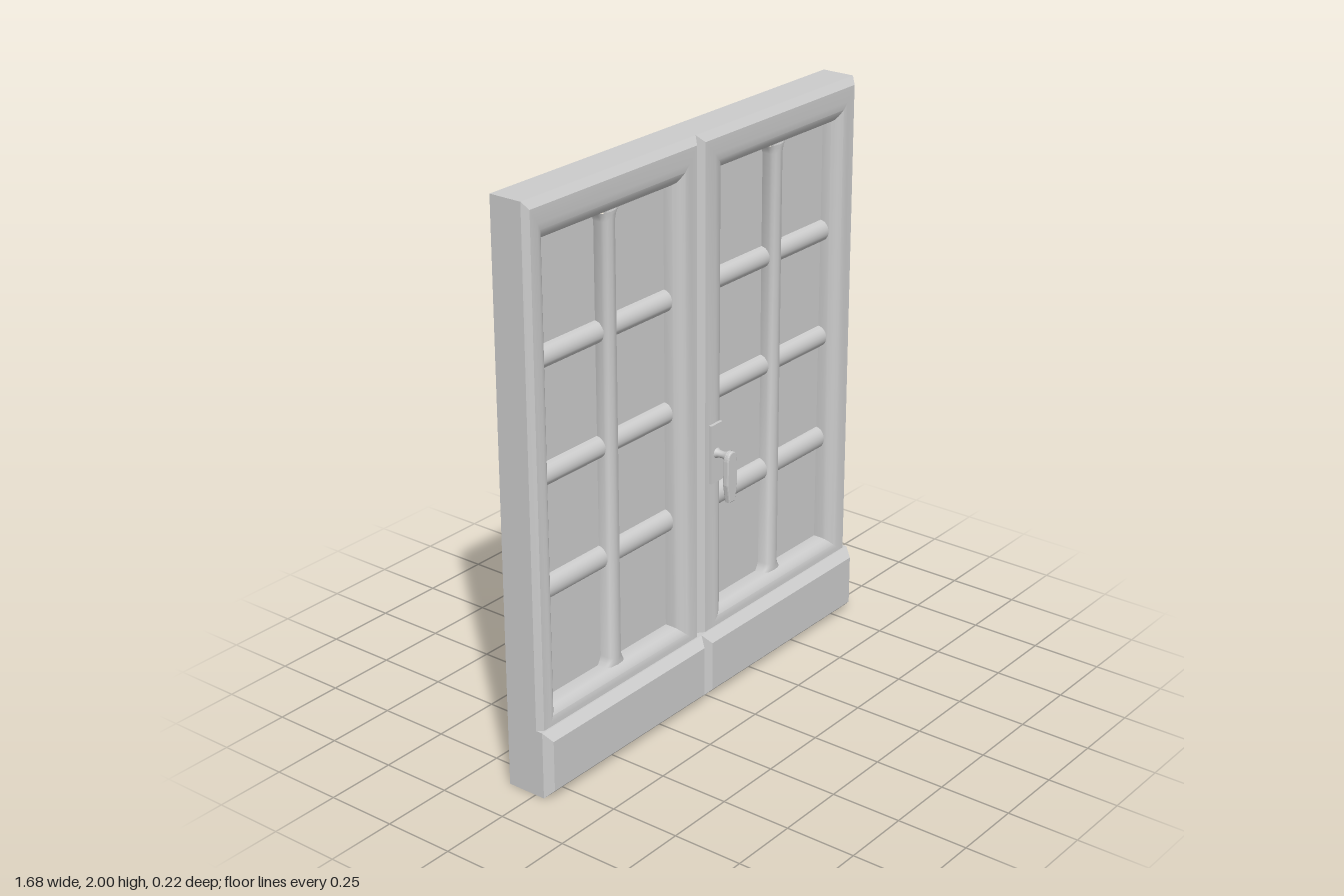
import * as THREE from 'three';
import { toCreasedNormals } from 'three/addons/utils/BufferGeometryUtils.js';

const material = new THREE.MeshStandardMaterial({ color: 0xcccccc, side: THREE.DoubleSide });
const GLASS_Z = -0.04;
const GAPS = [[0.65, 0.73], [1.04, 1.115], [1.43, 1.505]]; // glazing bar heights
const Y0 = 0.3, Y1 = 1.86;

// Skin a grid of [x, y, z] rows
function skin(rows, closed, crease = 0.5) {
  const n = rows[0].length, index = [];
  for (let i = 0; i < rows.length - 1; i++) {
    for (let j = 0; j < (closed ? n : n - 1); j++) {
      const k = (j + 1) % n;
      const a = i * n + j, b = i * n + k, c = (i + 1) * n + k, d = (i + 1) * n + j;
      index.push(a, b, c, a, c, d);
    }
  }
  const g = new THREE.BufferGeometry();
  g.setAttribute('position', new THREE.Float32BufferAttribute(rows.flat(2), 3));
  g.setIndex(index);
  return toCreasedNormals(g, crease);
}

// Rectangle corners at depth z, pulled in by [left, right, bottom, top] * f
const rect = ([x0, x1, y0, y1], [l, r, b, t], f, z) => [
  [x0 + l * f, y0 + b * f, z], [x1 - r * f, y0 + b * f, z],
  [x1 - r * f, y1 - t * f, z], [x0 + l * f, y1 - t * f, z]];

function roundedRect(path, x0, x1, y0, y1, r) {
  path.moveTo(x0 + r, y0);
  path.lineTo(x1 - r, y0); path.quadraticCurveTo(x1, y0, x1, y0 + r);
  path.lineTo(x1, y1 - r); path.quadraticCurveTo(x1, y1, x1 - r, y1);
  path.lineTo(x0 + r, y1); path.quadraticCurveTo(x0, y1, x0, y1 - r);
  path.lineTo(x0, y0 + r); path.quadraticCurveTo(x0, y0, x0 + r, y0);
  return path;
}

export function createModel() {
  const model = new THREE.Group();
  const add = (name, geometry, parent = model) => {
    const m = new THREE.Mesh(geometry, material);
    m.name = name;
    parent.add(m);
    return m;
  };

  // Thin outer casing, open at the back
  const none = [0, 0, 0, 0], whole = [-0.84, 0.84, 0, 2];
  add('outerCasing', skin([rect(whole, none, 0, -0.11), rect(whole, none, 0, 0.01)], true));

  // Rounded, mitred frame profile: [share of width, depth]
  const profile = [[0, 0.01], [0.18, 0.03], [0.55, 0.03], [0.72, 0.026],
    [0.86, 0.016], [0.95, 0.006], [1, -0.005], [1, GLASS_Z]];

  const leaves = [
    { name: 'rightLeaf', x: [-0.84, -0.02], w: [0.09, 0.1, 0.1, 0.14], p: [0.02, 0.022, 0.03, 0.03], bar: -0.43 },
    { name: 'leftLeaf', x: [-0.02, 0.84], w: [0.14, 0.1, 0.1, 0.14], p: [0.022, 0.02, 0.03, 0.03], bar: 0.43 },
  ];
  const levels = [Y0, ...GAPS.flat(), Y1];

  for (const { name, x, w, p, bar } of leaves) {
    const leaf = new THREE.Group();
    leaf.name = name;
    model.add(leaf);
    add('leafFrame', skin(profile.map(([f, z]) => rect([...x, 0.2, 2], w, f, z)), true), leaf);

    // Raised bottom panel with chamfered edges
    const box = [...x, 0, 0.24];
    add('bottomPanel', skin([rect(box, p, 0, 0.01), rect(box, p, 0, 0.035), rect(box, p, 1, 0.065)], true, 0.3), leaf);
    const face = rect(box, p, 1, 0.065);
    add('bottomPanelFace', skin([[face[0], face[1]], [face[3], face[2]]], false), leaf);

    // Upright glazing bar, flared where it meets the rails
    const section = [[-1, GLASS_Z], [-1, -0.012], [-0.9, -0.002], [-0.6, 0.006],
      [0, 0.009], [0.6, 0.006], [0.9, -0.002], [1, -0.012], [1, GLASS_Z]];
    const run = [[Y0, 0.046], [Y0 + 0.012, 0.038], [Y0 + 0.03, 0.03],
      [Y1 - 0.03, 0.03], [Y1 - 0.012, 0.038], [Y1, 0.046]];
    add('uprightBar', skin(run.map(([y, h]) => section.map(([u, z]) => [bar + u * h, y, z])), false, 0.8), leaf);

    // Panes, each with a thin bead on the back
    const inner = [x[0] + w[0], x[1] - w[1]];
    for (const [a, b] of [[inner[0], bar - 0.03], [bar + 0.03, inner[1]]]) {
      for (let i = 0; i < levels.length; i += 2) {
        const lo = levels[i], hi = levels[i + 1];
        add('pane', new THREE.PlaneGeometry(b - a, hi - lo), leaf)
          .position.set((a + b) / 2, (lo + hi) / 2, GLASS_Z);
        const bead = roundedRect(new THREE.Shape(), a, b, lo, hi, 0.02);
        bead.holes.push(roundedRect(new THREE.Path(), a + 0.009, b - 0.009, lo + 0.009, hi - 0.009, 0.014));
        add('paneBead', new THREE.ExtrudeGeometry(bead, { depth: 0.008, bevelEnabled: false, curveSegments: 4 }), leaf)
          .position.z = GLASS_Z - 0.009;
      }
    }
  }

  // Half-round cross bars running the full width
  for (const [lo, hi] of GAPS) {
    const rows = [];
    for (let i = 0; i <= 12; i++) {
      const a = Math.PI * i / 12;
      const y = (lo + hi) / 2 - Math.cos(a) * (hi - lo) / 2, z = GLASS_Z + 0.034 * Math.sin(a);
      rows.push([[-0.75, y, z], [0.74, y, z]]);
    }
    add('crossBar', skin(rows, false, 0.8));
  }

  // Backing behind the meeting stiles, with narrow slots at the cross bars
  for (let i = 0; i < levels.length; i += 2) {
    const lo = levels[i] - (i > 0 ? 0.025 : 0);
    const hi = levels[i + 1] + (i < levels.length - 2 ? 0.025 : 0);
    add('centreBacking', new THREE.PlaneGeometry(0.24, hi - lo)).position.set(0, (lo + hi) / 2, GLASS_Z - 0.002);
  }

  // Handle: plate, flared stem and tapered lever
  const handle = new THREE.Group();
  handle.name = 'handle';
  handle.position.x = 0.055;
  model.add(handle);
  add('handlePlate', new THREE.BoxGeometry(0.06, 0.21, 0.012), handle).position.set(0, 0.895, 0.035);
  const stem = new THREE.LatheGeometry([[0.02, 0.038], [0.013, 0.05], [0.012, 0.07], [0.018, 0.088], [0.022, 0.095]]
    .map(([r, y]) => new THREE.Vector2(r, y)), 16);
  stem.rotateX(Math.PI / 2);
  add('handleStem', stem, handle).position.y = 0.895;
  const lever = new THREE.Shape();
  lever.moveTo(-0.012, 0.738);
  lever.lineTo(0.012, 0.738);
  lever.lineTo(0.023, 0.8);
  lever.lineTo(0.021, 0.885);
  lever.quadraticCurveTo(0.018, 0.912, 0, 0.912);
  lever.quadraticCurveTo(-0.018, 0.912, -0.021, 0.885);
  lever.lineTo(-0.023, 0.8);
  add('handleLever', new THREE.ExtrudeGeometry(lever, {
    depth: 0.012, bevelThickness: 0.005, bevelSize: 0.004, bevelSegments: 2, curveSegments: 6,
  }), handle).position.z = 0.09;

  return model;
}
